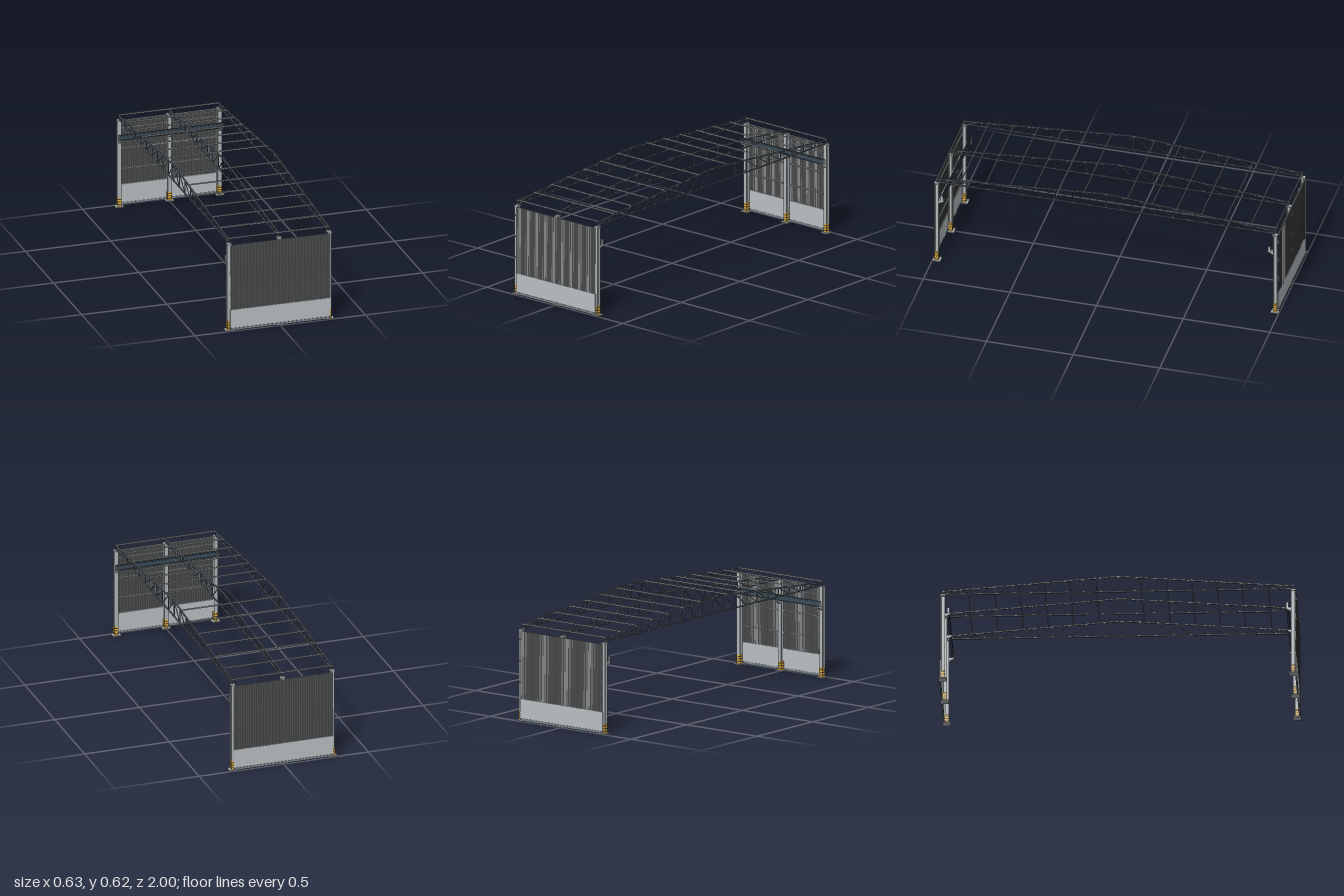
import * as THREE from 'three';

const mat = (name, color) => {
  const m = new THREE.MeshStandardMaterial({ color });
  m.name = name;
  return m;
};

export function createModel() {
  const M = {
    column: mat('light steel', 0xb3b8ba),
    concrete: mat('concrete', 0xbcc1c4),
    plinth: mat('plinth grey', 0x76838d),
    sheet: mat('corrugated sheet', 0x868889),
    truss: mat('truss steel', 0x626c75),
    purlin: mat('purlin steel', 0xa8aeb1),
    crane: mat('crane beam blue', 0x3d4d58),
    yellow: mat('warning yellow', 0xedb638),
    black: mat('warning black', 0x3a3e43),
  };
  M.sheet.side = THREE.DoubleSide;
  const root = new THREE.Group();
  root.name = 'portalHall';

  const group = (name, parent) => {
    const g = new THREE.Group();
    g.name = name;
    parent.add(g);
    return g;
  };
  const add = (parent, name, geo, material) => {
    const m = new THREE.Mesh(geo, material);
    m.name = name;
    parent.add(m);
    return m;
  };
  const box = (parent, name, material, w, h, d, x, y, z) => {
    const m = add(parent, name, new THREE.BoxGeometry(w, h, d), material);
    m.position.set(x, y, z);
    return m;
  };
  // Straight bar in the yz plane between two [z, y] points
  const bar = (parent, name, material, x, a, b, w, t) => {
    const dz = b[0] - a[0], dy = b[1] - a[1];
    const m = box(parent, name, material, w, t, Math.hypot(dz, dy),
      x, (a[1] + b[1]) / 2, (a[0] + b[0]) / 2);
    m.rotation.x = -Math.atan2(dy, dz);
    return m;
  };

  const frames = [-0.294, 0, 0.294];
  const colZ = 0.9765, colW = 0.023, colTop = 0.513;
  const topY = z => 0.618 - 0.075 * Math.abs(z) / 0.975;

  // Corrugated wall sheet, a plane waved along its width
  const sheetGeometry = () => {
    const ribs = 56, width = 0.584;
    const g = new THREE.PlaneGeometry(width, 0.386, ribs * 12, 1);
    const p = g.attributes.position;
    for (let i = 0; i < p.count; i++)
      p.setZ(i, 0.002 * Math.sin((p.getX(i) / width + 0.5) * ribs * Math.PI * 2));
    g.computeVertexNormals();
    g.translate(0.002, 0.32, 0.993);
    return g;
  };

  // H-section column with base plate, cap and warning bands
  const buildColumn = (parent, x) => {
    const g = group('column', parent);
    const f = 0.003, h = colTop - 0.006, y = 0.006 + h / 2;
    for (const s of [-1, 1])
      box(g, 'columnFlange', M.column, colW, h, f, x, y, colZ + s * (colW - f) / 2);
    box(g, 'columnWeb', M.column, 0.003, h, colW - f * 2, x, y, colZ);
    box(g, 'basePlate', M.column, 0.047, 0.006, 0.047, x, 0.003, colZ);
    box(g, 'capPlate', M.column, 0.025, 0.008, 0.03, x, 0.517, colZ);
    box(g, 'yellowGuard', M.yellow, 0.0236, 0.049, 0.0236, x, 0.0305, colZ);
    for (const yb of [0.017, 0.0315, 0.046])
      box(g, 'blackBand', M.black, 0.0242, 0.005, 0.0242, x, yb, colZ);

    // Crane bracket with a sloping underside
    const s = new THREE.Shape([[0.966, 0.385], [0.966, 0.408], [0.934, 0.408], [0.934, 0.402]]
      .map(([z, yy]) => new THREE.Vector2(-z, yy)));
    const geo = new THREE.ExtrudeGeometry(s, { depth: 0.018, bevelEnabled: false });
    geo.translate(0, 0, -0.009);
    geo.rotateY(Math.PI / 2);
    add(g, 'craneBracket', geo, M.column).position.x = x;
  };

  // One end wall, facing +z
  const buildEnd = (name) => {
    const g = group(name, root);
    frames.forEach(x => buildColumn(g, x));
    box(g, 'concreteWall', M.concrete, 0.584, 0.112, 0.006, 0.001, 0.071, 0.992);
    box(g, 'plinth', M.plinth, 0.584, 0.014, 0.009, 0.001, 0.010, 0.9925);
    add(g, 'wallSheet', sheetGeometry(), M.sheet);
    // Wall rails and their clips
    for (const y of [0.22, 0.342, 0.464]) {
      box(g, 'wallRail', M.purlin, 0.588, 0.006, 0.005, 0, y, 0.9875);
      for (const x of [-0.291, 0.003])
        box(g, 'railClip', M.column, 0.004, 0.007, 0.007, x, y, 0.9945);
    }
    box(g, 'topRail', M.purlin, 0.588, 0.005, 0.005, 0, 0.509, 0.9875);
    // Crane runway beam, I-section with rail
    const beam = group('craneBeam', g);
    box(beam, 'lowerFlange', M.crane, 0.608, 0.003, 0.012, 0, 0.4095, 0.945);
    box(beam, 'beamWeb', M.crane, 0.608, 0.022, 0.003, 0, 0.422, 0.945);
    box(beam, 'upperFlange', M.crane, 0.608, 0.003, 0.012, 0, 0.4345, 0.945);
    box(beam, 'craneRail', M.crane, 0.608, 0.005, 0.005, 0, 0.4385, 0.945);
    for (const s of [-1, 1])
      box(beam, 'endStop', M.column, 0.003, 0.03, 0.014, s * 0.3045, 0.423, 0.945);
    return g;
  };
  buildEnd('frontEnd');
  buildEnd('backEnd').rotation.y = Math.PI;

  // Roof trusses: a vertical at every node, diagonals falling outwards
  const step = 0.0975;
  for (const x of frames) {
    const g = group('roofTruss', root);
    box(g, 'bottomChord', M.truss, 0.007, 0.006, 1.95, x, 0.525, 0);
    bar(g, 'ridgePost', M.truss, x, [0, 0.525], [0, topY(0)], 0.005, 0.005);
    for (const s of [-1, 1]) {
      bar(g, 'topChord', M.truss, x, [0, topY(0)], [s * 0.98, topY(0.98)], 0.007, 0.007);
      for (let i = 1; i <= 10; i++) {
        const z = s * step * i, inner = s * step * (i - 1);
        bar(g, 'vertical', M.truss, x, [z, 0.525], [z, topY(z)], 0.005, 0.005);
        bar(g, 'diagonal', M.truss, x, [z, 0.525], [inner, topY(inner)], 0.004, 0.004);
      }
    }
  }

  // Purlins across the trusses
  const purlins = group('purlins', root);
  for (const s of [-1, 1])
    for (const z of [0.125, 0.27, 0.41, 0.55, 0.69, 0.835, 0.975])
      box(purlins, 'purlin', M.purlin, 0.592, 0.007, 0.005, 0, topY(z) + 0.006, s * z);

  return root;
}
